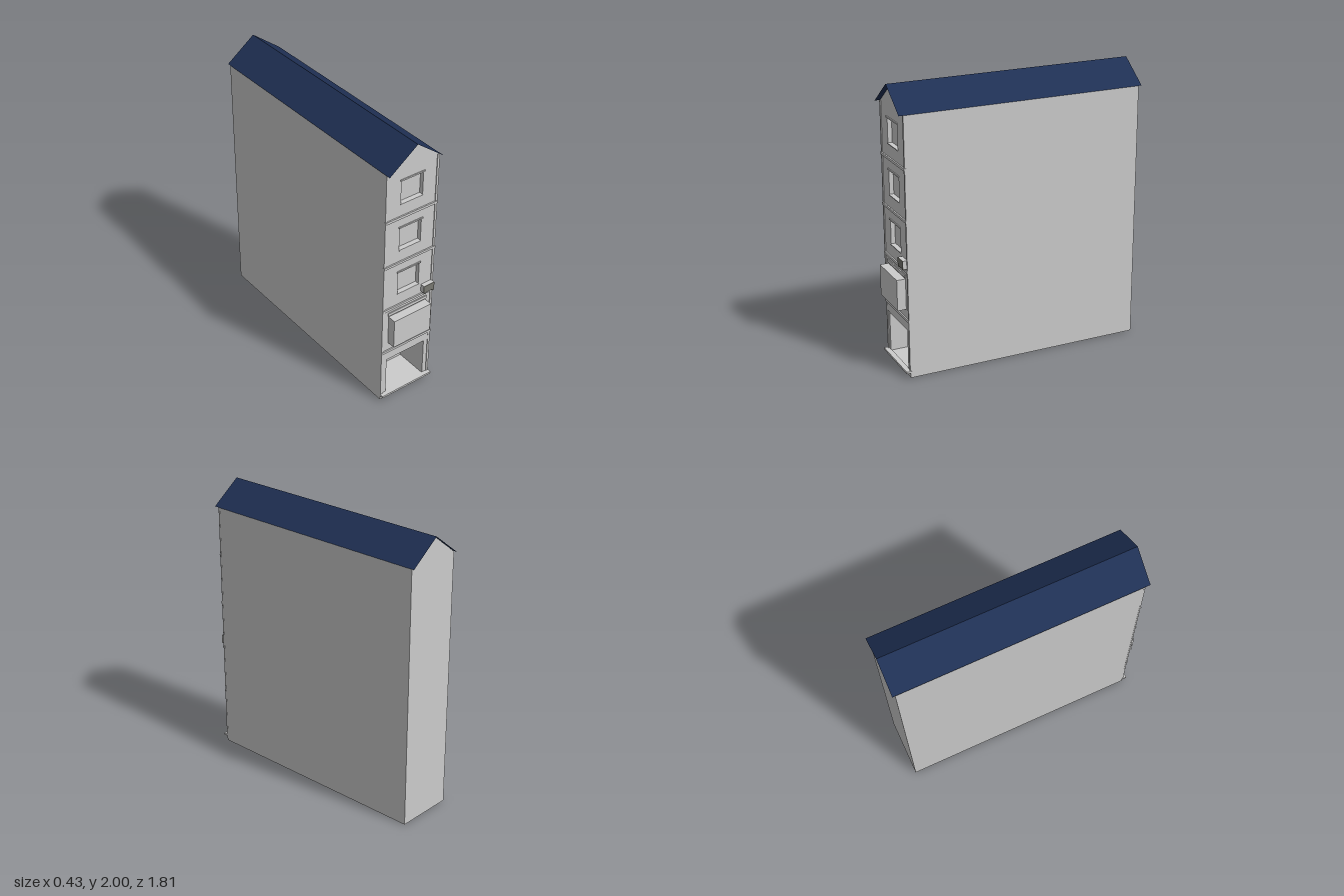
import * as THREE from 'three';

const HALF = 0.21, EAVE = 1.84, RIDGE = 1.998;
const FRONT = 0.838, BACK = -0.89, WALL = 0.03;

export function createModel() {
  const model = new THREE.Group();
  const grey = new THREE.MeshStandardMaterial({ color: 0xcccccc, side: THREE.DoubleSide, flatShading: true });
  const navy = new THREE.MeshStandardMaterial({ color: 0x1f3054, side: THREE.DoubleSide, flatShading: true });
  const dark = new THREE.MeshStandardMaterial({ color: 0x777770, flatShading: true });

  const add = (name, geometry, material = grey) => {
    const mesh = new THREE.Mesh(geometry, material);
    mesh.name = name;
    model.add(mesh);
    return mesh;
  };
  // Box given by its limits on each axis
  const box = (name, x0, x1, y0, y1, z0, z1, material) => {
    const mesh = add(name, new THREE.BoxGeometry(x1 - x0, y1 - y0, z1 - z0), material);
    mesh.position.set((x0 + x1) / 2, (y0 + y1) / 2, (z0 + z1) / 2);
    return mesh;
  };
  // Flat sheet, turned about x and y
  const sheet = (name, w, h, x, y, z, rx = 0, ry = 0, material = grey) => {
    const mesh = add(name, new THREE.PlaneGeometry(w, h), material);
    mesh.position.set(x, y, z);
    mesh.rotation.set(rx, ry, 0);
    return mesh;
  };
  const gable = () => new THREE.Shape([[-HALF, 0], [HALF, 0], [HALF, EAVE], [0, RIDGE], [-HALF, EAVE]]
    .map(([x, y]) => new THREE.Vector2(x, y)));
  const hole = (x0, x1, y0, y1) => new THREE.Path([[x0, y0], [x0, y1], [x1, y1], [x1, y0]]
    .map(([x, y]) => new THREE.Vector2(x, y)));

  // Front wall with window and shop openings
  const windows = [0.87, 1.223, 1.58];
  const winHalf = 0.088, winHeight = 0.172;
  const shop = { x: 0.162, y0: 0.045, y1: 0.34, z: 0.6 };
  const front = gable();
  for (const y of windows) front.holes.push(hole(-winHalf, winHalf, y, y + winHeight));
  front.holes.push(hole(-shop.x, shop.x, shop.y0, shop.y1));
  add('frontWall', new THREE.ExtrudeGeometry(front, { depth: WALL, bevelEnabled: false }))
    .position.z = FRONT - WALL;

  // Open-bottomed shell
  add('backWall', new THREE.ShapeGeometry(gable()).rotateY(Math.PI)).position.z = BACK;
  for (const s of [-1, 1])
    sheet('sideWall', FRONT - BACK, EAVE, s * HALF, EAVE / 2, (FRONT + BACK) / 2, 0, s * Math.PI / 2);

  // Two thin roof slopes
  const roofShape = (s) => {
    const g = new THREE.PlaneGeometry(0.214, 1.785).rotateX(-Math.PI / 2);
    const p = g.attributes.position;
    for (let i = 0; i < p.count; i++) {
      const x = p.getX(i) + s * 0.107;
      p.setXYZ(i, x, 2 - 0.16 * Math.abs(x) / 0.214, p.getZ(i) - 0.0175);
    }
    g.computeVertexNormals();
    return g;
  };
  for (const s of [-1, 1]) add('roofSlope', roofShape(s), navy);

  // Corner pilasters and floor bands
  for (const s of [-1, 1])
    box('cornerPilaster', s * 0.2025 - 0.0085, s * 0.2025 + 0.0085, 0.05, EAVE, FRONT - 0.005, 0.843);
  for (const [y0, y1] of [[0.405, 0.423], [0.762, 0.78], [1.115, 1.132], [1.47, 1.488]])
    box('floorBand', -0.212, 0.212, y0, y1, FRONT - 0.005, 0.848);

  // Recessed windows with lintel and sill
  for (const y of windows) {
    sheet('windowPane', winHalf * 2, winHeight, 0, y + winHeight / 2, FRONT - WALL);
    box('windowLintel', -0.098, 0.098, y + winHeight, y + winHeight + 0.01, FRONT - 0.005, 0.845);
    box('windowSill', -0.09, 0.09, y - 0.006, y, FRONT - 0.005, 0.843);
  }

  // Bay window and the lintel above it
  box('bayWindow', -0.156, 0.156, 0.485, 0.705, FRONT - 0.005, 0.9);
  box('bayLintel', -0.163, 0.163, 0.715, 0.738, FRONT - 0.005, 0.845);

  // Shop recess, fascia and doorstep
  const depth = FRONT - WALL - shop.z, zMid = shop.z + depth / 2;
  const height = shop.y1 - shop.y0, yMid = (shop.y0 + shop.y1) / 2;
  sheet('shopBack', shop.x * 2, height, 0, yMid, shop.z);
  sheet('shopFloor', shop.x * 2, depth + WALL, 0, shop.y0, zMid + WALL / 2, -Math.PI / 2);
  sheet('shopCeiling', shop.x * 2, depth, 0, shop.y1, zMid, Math.PI / 2);
  for (const s of [-1, 1])
    sheet('shopSide', depth, height, s * shop.x, yMid, zMid, 0, -s * Math.PI / 2);
  box('shopFascia', -0.194, 0.194, shop.y1, 0.405, FRONT - 0.005, 0.842);
  box('doorstep', -0.213, 0.213, 0.035, 0.05, FRONT - 0.005, 0.87);

  // Wall-mounted cooling unit on brackets
  box('coolingUnit', 0.112, 0.2, 0.795, 0.852, FRONT - 0.005, 0.868);
  box('coolingGrille', 0.112, 0.2, 0.795, 0.852, 0.868, 0.872, dark);
  for (const x of [0.122, 0.19])
    box('unitBracket', x - 0.004, x + 0.004, 0.787, 0.795, FRONT - 0.005, 0.872, dark);

  return model;
}
